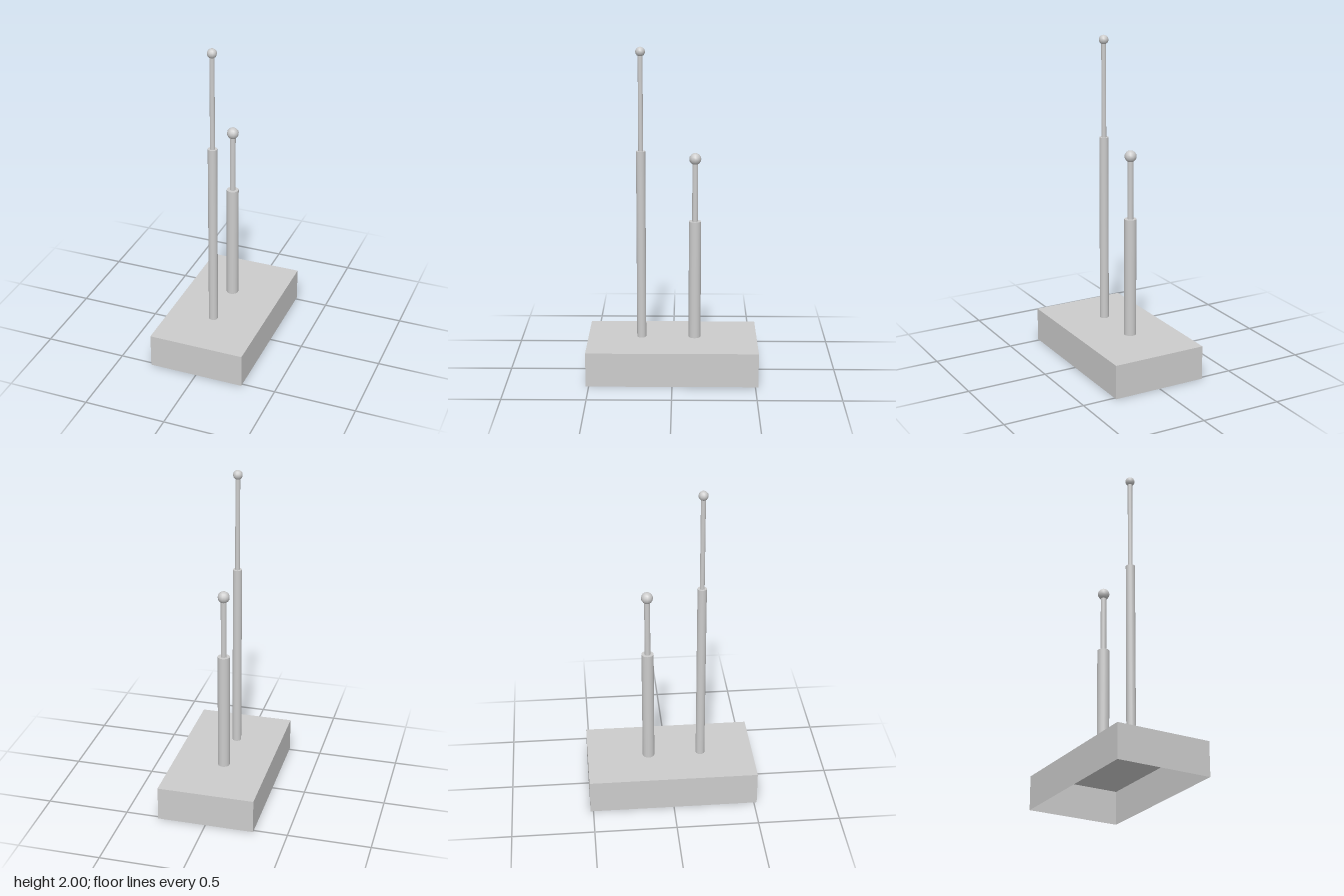
import * as THREE from 'three';

const grey = new THREE.MeshStandardMaterial({ color: 0xcccccc });
const shell = new THREE.MeshStandardMaterial({ color: 0xcccccc, side: THREE.DoubleSide });

function rod(name, radius, y0, y1) {
  const mesh = new THREE.Mesh(new THREE.CylinderGeometry(radius, radius, y1 - y0, 16), grey);
  mesh.name = name;
  mesh.position.y = (y0 + y1) / 2;
  return mesh;
}

// Two-stage telescopic mast with a ball tip
function antenna(name, z, { sleeve, sleeveTop, inner, ball, ballY }) {
  const group = new THREE.Group();
  group.name = name;
  group.position.set(-0.015, 0, z);
  const tip = new THREE.Mesh(new THREE.SphereGeometry(ball, 12, 8), grey);
  tip.name = 'ballTip';
  tip.position.y = ballY;
  group.add(
    rod('outerTube', sleeve, 0.21, sleeveTop),
    rod('innerRod', inner, sleeveTop, ballY),
    tip
  );
  return group;
}

export function createModel() {
  const model = new THREE.Group();
  model.name = 'antennaPair';

  // Hollow base: a box without its bottom face
  const box = new THREE.BoxGeometry(0.59, 0.21, 1.036);
  const index = Array.from(box.index.array);
  index.splice(18, 6);
  box.setIndex(index);
  box.clearGroups();
  const base = new THREE.Mesh(box, shell);
  base.name = 'base';
  base.position.y = 0.105;

  model.add(
    base,
    antenna('tallAntenna', 0.19, { sleeve: 0.028, sleeveTop: 1.377, inner: 0.0145, ball: 0.029, ballY: 1.971 }),
    antenna('shortAntenna', -0.136, { sleeve: 0.037, sleeveTop: 0.946, inner: 0.0175, ball: 0.036, ballY: 1.33 })
  );
  return model;
}
